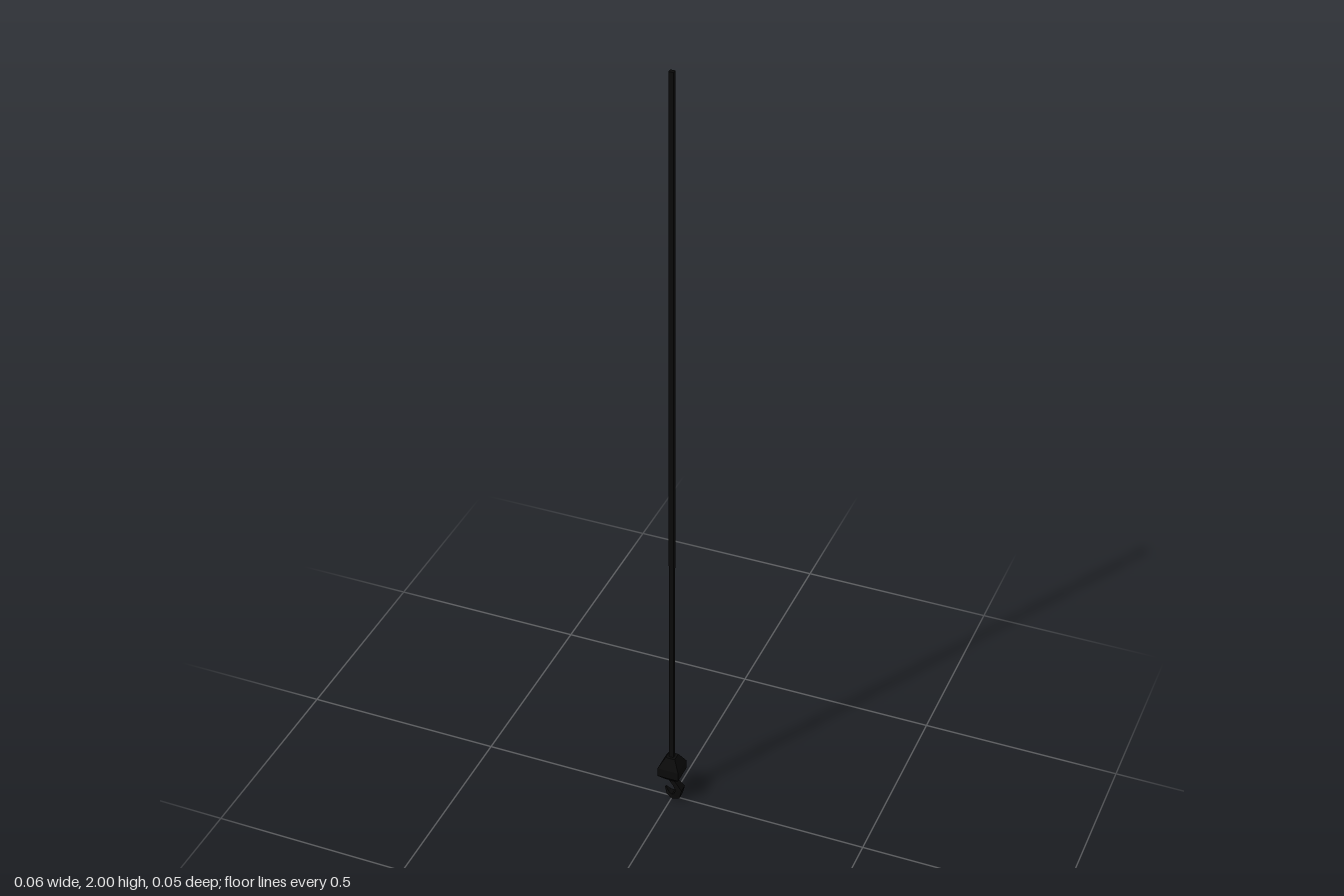
import * as THREE from 'three';

const CX = -0.002; // axis of the cable and block

const material = new THREE.MeshStandardMaterial({ color: 0x0a0a0a, flatShading: true });

function part(name, geometry, parent) {
  const mesh = new THREE.Mesh(geometry, material);
  mesh.name = name;
  parent.add(mesh);
  return mesh;
}

// Square sections stacked upwards, given as [half side, y]
function squareStack(profile) {
  const points = profile.map(([h, y]) => new THREE.Vector2(h * Math.SQRT2, y));
  return new THREE.LatheGeometry(points, 4).rotateY(Math.PI / 4);
}

// Rectangular sections swept along a path in the xy plane:
// [x, y, half width in the plane, half depth in z]
function sweep(sections) {
  const positions = [];
  const index = [];
  const last = sections.length - 1;
  sections.forEach(([x, y, w, d], i) => {
    const a = sections[Math.max(i - 1, 0)];
    const b = sections[Math.min(i + 1, last)];
    const t = new THREE.Vector2(b[0] - a[0], b[1] - a[1]).normalize();
    for (const [n, s] of [[1, 1], [-1, 1], [-1, -1], [1, -1]]) {
      positions.push(x - t.y * w * n, Math.max(0, y + t.x * w * n), d * s);
    }
    if (i === last) return;
    for (let j = 0; j < 4; j++) {
      const p = i * 4 + j;
      const q = i * 4 + ((j + 1) % 4);
      index.push(p, q, q + 4, p, q + 4, p + 4);
    }
  });
  const e = last * 4;
  index.push(0, 2, 1, 0, 3, 2, e, e + 1, e + 2, e, e + 2, e + 3);
  const geometry = new THREE.BufferGeometry();
  geometry.setAttribute('position', new THREE.Float32BufferAttribute(positions, 3));
  geometry.setIndex(index);
  geometry.computeVertexNormals();
  return geometry;
}

export function createModel() {
  const group = new THREE.Group();
  group.name = 'craneHook';

  // Long square cable
  part('cable', new THREE.BoxGeometry(0.012, 1.88, 0.011), group).position.set(CX, 1.06, 0);

  // Tapered square weight block
  part('weightBlock', squareStack([
    [0, 0.06], [0.012, 0.06], [0.0275, 0.078], [0.0275, 0.102], [0.012, 0.13], [0, 0.13],
  ]), group).position.x = CX;

  // Hook, thick at the bend and narrowing to its tip
  part('hook', sweep([
    [CX, 0.075, 0.006, 0.006],
    [-0.001, 0.056, 0.006, 0.007],
    [0.010, 0.045, 0.006, 0.009],
    [0.020, 0.032, 0.008, 0.0115],
    [0.015, 0.014, 0.009, 0.0115],
    [0.002, 0.007, 0.007, 0.010],
    [-0.010, 0.013, 0.005, 0.007],
    [-0.019, 0.027, 0.0015, 0.002],
  ]), group);

  return group;
}
